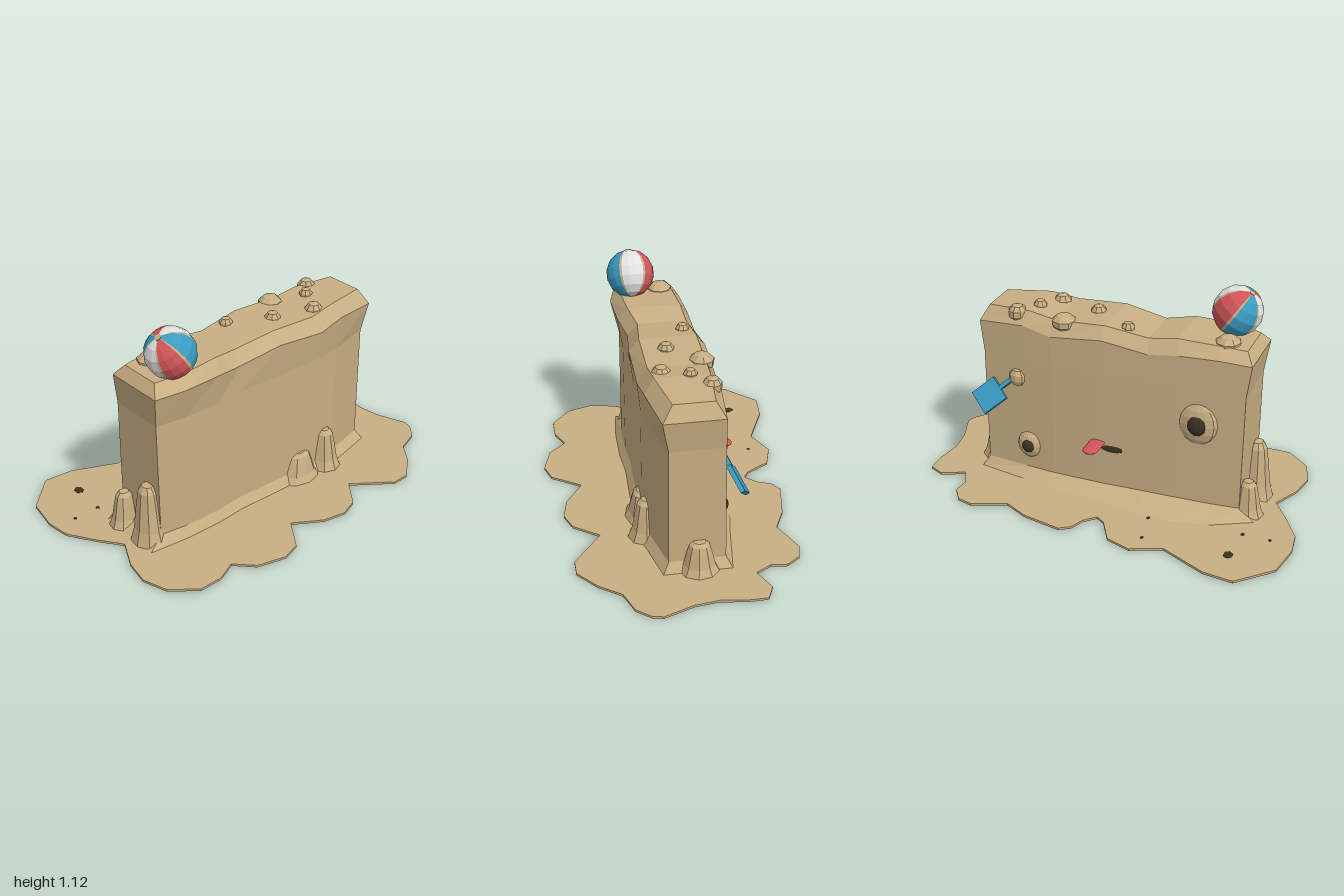
import * as THREE from 'three';

const mat = (name, color, extra = {}) => {
  const m = new THREE.MeshStandardMaterial({ color, flatShading: true, ...extra });
  m.name = name;
  return m;
};

export function createModel() {
  const sand = mat('sand', 0xc8ae82, { side: THREE.DoubleSide });
  const dark = mat('darkBrown', 0x3a3324);
  const red = mat('red', 0xd0555a);
  const blue = mat('blue', 0x3a9cc2);
  const white = mat('white', 0xe2e2e2);

  const model = new THREE.Group();
  const add = (name, geo, material, pos = [0, 0, 0], scale = [1, 1, 1], parent = model) => {
    const mesh = new THREE.Mesh(geo, material);
    mesh.name = name;
    mesh.position.set(...pos);
    mesh.scale.set(...scale);
    parent.add(mesh);
    return mesh;
  };

  // Sand puddle with a scalloped rim, open under the wall
  const rim = [
    [-.81, -.645], [-.66, -.63], [-.43, -.525], [-.28, -.59], [-.155, -.55], [-.085, -.43], [-.04, -.4],
    [.015, -.455], [.045, -.525], [.1, -.56], [.3, -.52], [.42, -.46], [.59, -.53], [.67, -.51], [.72, -.44],
    [.71, -.36], [.755, -.28], [.87, -.33], [.945, -.295], [.945, -.19], [.925, -.07], [.94, .05], [.995, .2],
    [.985, .25], [.925, .32], [.81, .36], [.73, .465], [.62, .555], [.53, .555], [.34, .41], [.245, .535],
    [.15, .57], [.03, .545], [-.11, .455], [-.21, .6], [-.305, .63], [-.45, .59], [-.535, .5], [-.635, .545],
    [-.755, .545], [-.875, .445], [-.915, .32], [-.89, .19], [-.82, .05], [-.905, -.07], [-.985, -.2],
    [-1, -.32], [-.97, -.49],
  ];
  const toV2 = ([x, z]) => new THREE.Vector2(x, -z);
  const puddleShape = new THREE.Shape(rim.map(toV2));
  puddleShape.holes.push(new THREE.Path(
    [[-.7, .19], [.68, .15], [.69, -.16], [.1, -.24], [-.35, -.26], [-.7, -.15]].map(toV2)));
  const puddle = new THREE.ExtrudeGeometry(puddleShape, { depth: .012, bevelEnabled: false });
  puddle.rotateX(-Math.PI / 2);
  add('sandPuddle', puddle, sand, [0, .008, 0]);

  // Wall: stacked loops, each running along the front and returning along the back
  const xs = [-.7, -.55, -.35, -.2, .03, .3, .45, .69];
  const front = [.16, .185, .19, .18, .19, .195, .18, .125];
  const back = [-.13, -.145, -.155, -.16, -.17, -.17, -.16, -.14];
  const shoulder = [.84, .85, .845, .825, .86, .83, .86, .84];
  const crest = [.895, .905, .912, .89, .92, .905, .925, .915];
  const bulge = [.03, .04, .025, .005, .02, .015, .02, .03];
  const skirt = [-.16, -.27, -.31, -.3, -.27, -.25, -.22, -.18];
  const rings = [
    (i, f) => [xs[i] * (i === 0 ? 1.1 : 1.02), .018, f ? front[i] + .03 : skirt[i]],
    (i, f) => [xs[i] * .975, .07, f ? front[i] : back[i] - .01],
    (i, f) => [xs[i] * .98, .68, f ? front[i] : back[i]],
    (i, f) => [xs[i] * 1.01, shoulder[i], f ? front[i] + bulge[i] : back[i] + .005],
    (i, f) => [xs[i] * .955, crest[i], f ? front[i] + bulge[i] - .05 : back[i] + .05],
  ];
  const n = xs.length, loop = n * 2, verts = [], faces = [];
  rings.forEach((ring, r) => {
    for (let k = 0; k < loop; k++) {
      verts.push(...(k < n ? ring(k, true) : ring(loop - 1 - k, false)));
      if (r === 0) continue;
      const k2 = (k + 1) % loop, lo = (r - 1) * loop, hi = r * loop;
      faces.push(lo + k, lo + k2, hi + k2, lo + k, hi + k2, hi + k);
    }
  });
  const topRow = (rings.length - 1) * loop;
  for (let i = 0; i < n - 1; i++) {
    const a = topRow + i, b = a + 1, d = topRow + loop - 1 - i, c = d - 1;
    faces.push(a, b, c, a, c, d);
  }
  const wall = new THREE.BufferGeometry();
  wall.setAttribute('position', new THREE.Float32BufferAttribute(verts, 3));
  wall.setIndex(faces);
  wall.computeVertexNormals();
  add('sandWall', wall, sand);

  // Drip mounds leaning on the wall: x, z, half width, half depth, height
  const moundProfile = [[1, 0], [.78, .25], [.62, .65], [.5, .9], [.3, 1], [0, 1.01]]
    .map(([r, y]) => new THREE.Vector2(r, y));
  const mound = new THREE.LatheGeometry(moundProfile, 9);
  [
    [.2, .18, .125, .09, .155], [.375, .18, .09, .1, .22], [-.7, .09, .09, .1, .315],
    [-.71, -.09, .085, .075, .19], [.68, -.02, .09, .1, .165],
  ].forEach(([x, z, w, d, h]) => add('dripMound', mound, sand, [x, .015, z], [w, h, d]));

  // Pebbles on top: x, z, radius, height of centre
  const pebble = new THREE.SphereGeometry(1, 8, 5);
  [
    [-.07, -.07, .035, .905], [.13, .045, .042, .905], [.25, -.105, .062, .895], [.415, -.02, .035, .92],
    [.5, -.105, .048, .905], [.35, .105, .047, .9], [-.56, -.035, .065, .895],
  ].forEach(([x, z, r, y]) => add('pebble', pebble, sand, [x, y, z], [r, Math.min(r, .045), r]));

  // Eyes on the back
  const eyeball = new THREE.SphereGeometry(1, 12, 8);
  [[-.46, .5, .1, -.145], [.43, .2, .068, -.16]].forEach(([x, y, r, z]) => {
    add('eyeSocket', eyeball, sand, [x, y, z], [r, r * 1.1, .035]);
    add('pupil', eyeball, dark, [x, y, z - .015], [r * .52, r * .58, .035]);
  });

  // Mouth and tongue
  add('mouth', eyeball, dark, [-.01, .275, -.171], [.075, .022, .007]);
  const tongue = new THREE.CapsuleGeometry(.04, .11, 4, 10);
  tongue.rotateX(Math.PI / 2);
  add('tongue', tongue, red, [.05, .305, -.21], [1, .28, 1]);

  // Toy spade stuck into a lump of sand
  add('spadeLump', pebble, sand, [.49, .57, -.15], [.05, .05, .035]);
  const spade = new THREE.Group();
  spade.name = 'spade';
  spade.position.set(.625, .465, -.207);
  spade.rotation.set(.52, 0, Math.PI / 4);
  model.add(spade);
  add('spadeBlade', new THREE.BoxGeometry(.13, .14, .022), blue, [0, 0, 0], [1, 1, 1], spade);
  add('spadeHandle', new THREE.BoxGeometry(.022, .13, .02), blue, [0, .13, 0], [1, 1, 1], spade);

  // Beach ball: six coloured gores with sandy seams and pole caps
  const ball = new THREE.Group();
  ball.name = 'beachBall';
  ball.position.set(-.555, 1, .117);
  ball.rotation.z = .585;
  model.add(ball);
  const R = .123, deg = Math.PI / 180;
  [white, blue, red, white, blue, red].forEach((m, i) => {
    const mid = Math.PI - i * 60 * deg;
    add('ballPanel', new THREE.SphereGeometry(R, 2, 7, mid - 27 * deg, 54 * deg, .12, Math.PI - .24), m,
      [0, 0, 0], [1, 1, 1], ball);
    add('ballSeam', new THREE.SphereGeometry(R, 1, 7, mid + 27 * deg, 6 * deg, .12, Math.PI - .24), sand,
      [0, 0, 0], [1, 1, 1], ball);
  });
  [1, -1].forEach(s => add('ballCap', new THREE.CylinderGeometry(.017, .017, .004, 12), sand,
    [0, s * R * .985, 0], [1, 1, 1], ball));

  // Dark specks set into the puddle
  [[-.73, -.46, .024], [-.88, -.275, .008], [-.745, -.275, .01], [-.305, -.48, .008], [-.275, -.315, .009]]
    .forEach(([x, z, r]) => add('speck', new THREE.CylinderGeometry(r, r, .016, 6), dark, [x, .014, z], [1, 1, 1.2]));

  return model;
}
